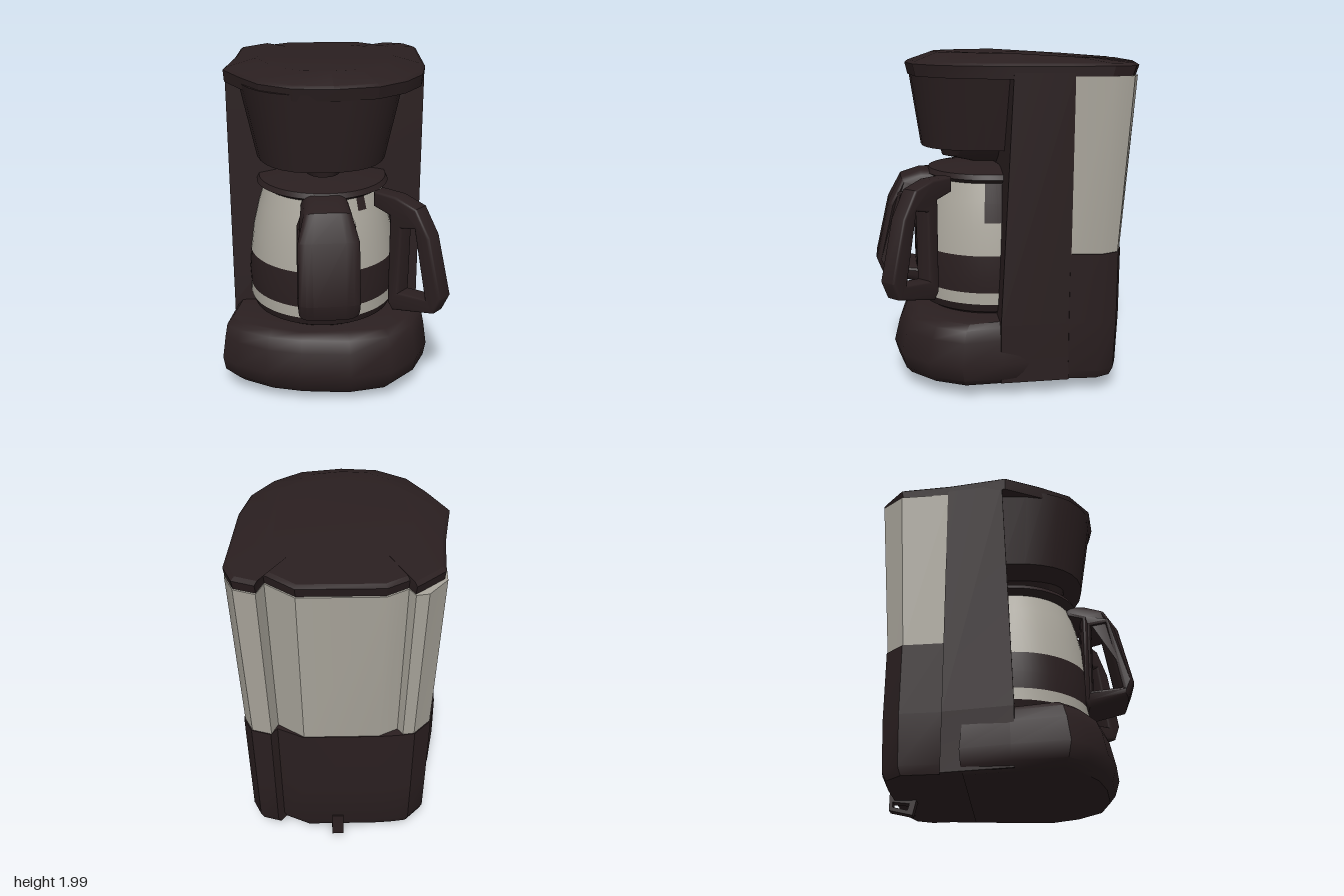
import * as THREE from 'three';
import { toCreasedNormals } from 'three/addons/utils/BufferGeometryUtils.js';

const dark = new THREE.MeshStandardMaterial({ color: 0x2a1f20 });
dark.name = 'dark brown plastic';
const pale = new THREE.MeshStandardMaterial({ color: 0xaaa69c });
pale.name = 'pale grey glass';

// Closed solid through rings of [x, y, z], listed bottom to top, each counter-clockwise from above
function loft(rings, crease = 0.6) {
  const n = rings[0].length, pos = [];
  const tri = (a, b, c) => pos.push(...a, ...b, ...c);
  for (let i = 0; i < rings.length - 1; i++) {
    for (let j = 0; j < n; j++) {
      const k = (j + 1) % n, lo = rings[i], hi = rings[i + 1];
      tri(lo[j], lo[k], hi[k]);
      tri(lo[j], hi[k], hi[j]);
    }
  }
  const cap = (ring, up) => {
    const flat = ring.map(p => new THREE.Vector2(p[0], -p[2]));
    for (const [a, b, c] of THREE.ShapeUtils.triangulateShape(flat, [])) {
      if (up) tri(ring[a], ring[b], ring[c]);
      else tri(ring[a], ring[c], ring[b]);
    }
  };
  cap(rings[0], false);
  cap(rings[rings.length - 1], true);
  const g = new THREE.BufferGeometry();
  g.setAttribute('position', new THREE.Float32BufferAttribute(pos, 3));
  return toCreasedNormals(g, crease);
}

// Plan outline placed at a height, scaled in x and in z about z0
const at = (plan, y, sx = 1, sz = 1, z0 = 0) =>
  plan.map(([x, z]) => [x * sx, y, z0 + (z - z0) * sz]);

// Rounded front outline, open side on z = 0
function frontRing(y, cx, rx, rz) {
  const ring = [], n = 16;
  for (let i = 0; i <= n; i++) {
    const a = Math.PI * (1 - i / n), c = Math.cos(a), s = Math.max(0, Math.sin(a));
    ring.push([cx + rx * Math.sign(c) * Math.abs(c) ** 0.8, y, rz * s ** 0.8]);
  }
  return ring;
}

// Carafe handle: side profile with a finger hole, u = 0 near the glass, narrowing at top and bottom
function handleGeometry(width, bevelSize, bevelThickness, taper) {
  const v = pts => pts.map(p => new THREE.Vector2(...p));
  const shape = new THREE.Shape(v([[-0.13, 1.2], [-0.03, 1.17], [-0.03, 0.62], [0, 0.575], [0.24, 0.645],
    [0.28, 0.75], [0.2, 1.1], [0.12, 1.25], [0, 1.29], [-0.13, 1.29]]));
  shape.holes.push(new THREE.Path(v([[0.035, 0.7], [0.04, 1.11], [0.115, 1.13], [0.19, 0.72]])));
  const g = new THREE.ExtrudeGeometry(shape, {
    depth: width - 2 * bevelThickness, bevelEnabled: true, bevelSize, bevelThickness,
    bevelOffset: -bevelSize, bevelSegments: 3,
  });
  g.translate(0, 0, bevelThickness - width / 2);
  const p = g.attributes.position;
  for (let i = 0; i < p.count; i++) {
    const y = p.getY(i);
    const ends = Math.max(0, y - 1.12) / 0.17 + 0.5 * Math.max(0, 0.68 - y) / 0.1;
    p.setZ(i, p.getZ(i) * (1 - taper * ends));
  }
  return toCreasedNormals(g, 0.6);
}

export function createModel() {
  const model = new THREE.Group();
  model.name = 'coffeeMaker';
  const add = (name, geometry, material = dark) => {
    const mesh = new THREE.Mesh(geometry, material);
    mesh.name = name;
    model.add(mesh);
    return mesh;
  };

  // Rear outline with a grooved ridge at each back corner
  const rear = [[0.63, -0.33], [0.65, -0.55], [0.6, -0.68], [0.48, -0.73], [0.44, -0.63], [0.28, -0.77],
    [-0.18, -0.78], [-0.3, -0.71], [-0.33, -0.77], [-0.4, -0.76], [-0.51, -0.63], [-0.53, -0.33]];

  // Base with a bulging front and sides that flare out of the column towards the bottom
  const base = (y, sx, sz, flare) => at([[0.58 + 0.03 * flare, 0.05], [0.57, -0.23], [-0.54, -0.23],
    [-0.58 - 0.03 * flare, 0.05], [-0.66, 0.37], [-0.58, 0.47], [-0.4, 0.58], [-0.2, 0.64], [0.1, 0.68],
    [0.35, 0.64], [0.52, 0.49], [0.62, 0.3]], y, sx, sz);
  add('base', loft([
    base(0.085, 0.9, 0.91, 1), base(0.13, 0.98, 0.96, 1), base(0.22, 1, 1, 0.8),
    base(0.36, 0.97, 0.95, 0.4), base(0.43, 0.95, 0.9, 0), base(0.46, 0.9, 0.83, 0),
  ], 0.8));

  // Upright column, its front leaning back slightly
  const column = [[0.6, 0], [0.63, -0.335], [-0.53, -0.335], [-0.59, 0]];
  const columnLow = [[0.59, 0.07], [0.58, -0.335], [-0.5, -0.335], [-0.58, 0.07]];
  add('column', loft([at(columnLow, 0.1), at(columnLow, 0.45), at(column, 1.9)]));

  // Lower rear housing, smoother than the tank above it
  const housing = rear.map(([x, z], i) => (i === 7 ? [-0.29, -0.775] : i === 4 ? [0.44, -0.67] : [x, z]));
  add('rearHousing', loft([
    at(housing, 0.1, 0.89, 0.74, -0.33), at(housing, 0.15, 0.92, 0.79, -0.33),
    at(housing, 0.45, 0.93, 0.82, -0.33), at(housing, 0.87, 0.945, 0.82, -0.33),
  ]));

  // Water tank
  add('waterTank', loft([at(rear, 0.87, 0.935, 0.81, -0.33), at(rear, 1.88, 0.995, 0.985, -0.33)]), pale);

  // Lid, sloping down to its rim and to the back, leaving one tank corner bare
  const lid = [...rear.slice(0, 9), [-0.38, -0.73], [-0.495, -0.63], [-0.53, -0.33],
    [-0.6, 0.02], [-0.5, 0.24], [-0.4, 0.42], [-0.22, 0.55], [0, 0.58], [0.25, 0.54],
    [0.42, 0.42], [0.54, 0.25], [0.6, 0.02]];
  const lidTop = at(lid, 2, 0.68, 0.72).map(([x, y, z]) => [x, y + 0.06 * Math.min(0, z), z]);
  add('lid', loft([at(lid, 1.865, 0.99, 0.97), at(lid, 1.935), at(lid, 1.95, 0.97, 0.97), lidTop], 0.4));

  // Filter basket and drip spout
  add('filterBasket', loft([frontRing(1.44, -0.03, 0.39, 0.49), frontRing(1.9, -0.03, 0.49, 0.56)]));
  add('dripSpout', loft([
    frontRing(1.32, -0.03, 0.04, 0.14), frontRing(1.37, -0.03, 0.13, 0.36), frontRing(1.45, -0.03, 0.19, 0.38),
  ]));

  // Carafe, front part only as the rest sits in the column
  const carafe = new THREE.Group();
  carafe.name = 'carafe';
  carafe.position.set(-0.02, 0, 0.06);
  model.add(carafe);
  const turn = (name, pts, material, start = -Math.PI / 2 - 0.2, length = Math.PI + 0.4) => {
    const g = new THREE.LatheGeometry(pts.map(p => new THREE.Vector2(...p)), 32, start, length);
    const mesh = new THREE.Mesh(toCreasedNormals(g.toNonIndexed(), 0.6), material);
    mesh.name = name;
    carafe.add(mesh);
  };
  turn('carafeFoot', [[0.38, 0.45], [0.43, 0.48], [0.45, 0.53]], dark);
  turn('lowerGlass', [[0.45, 0.53], [0.45, 0.6]], pale);
  turn('carafeBand', [[0.45, 0.6], [0.455, 0.7], [0.445, 0.825]], dark);
  turn('upperGlass', [[0.445, 0.825], [0.425, 0.98], [0.39, 1.13], [0.35, 1.26]], pale);
  turn('carafeCollar', [[0.35, 1.24], [0.4, 1.27], [0.385, 1.3], [0.25, 1.325], [0, 1.335]], dark);
  turn('collarClip', [[0.421, 1.02], [0.395, 1.13], [0.355, 1.26]], dark, 1.37, 0.33);
  turn('collarTab', [[0.383, 1.17], [0.355, 1.26]], dark, 0.5, 0.16);

  // Wide front handle and slim side handle
  const wide = add('frontHandle', handleGeometry(0.35, 0.03, 0.08, 0.35));
  wide.position.set(-0.035, 0, 0.5);
  wide.rotation.y = -Math.PI / 2;
  const slim = add('sideHandle', handleGeometry(0.11, 0.015, 0.015, 0));
  slim.position.set(0.395, 0, 0.475);
  slim.scale.x = 1.2;
  slim.rotation.y = -0.8;

  // Cord loop under the back
  const loop = new THREE.Shape([[0.53, 0.1], [0.55, 0.01], [0.69, 0.04], [0.69, 0.2], [0.64, 0.2], [0.64, 0.1]]
    .map(p => new THREE.Vector2(...p)));
  loop.holes.push(new THREE.Path([[0.57, 0.08], [0.67, 0.09], [0.67, 0.06], [0.58, 0.04]]
    .map(p => new THREE.Vector2(...p))));
  const cord = add('cordLoop', new THREE.ExtrudeGeometry(loop, { depth: 0.07, bevelEnabled: false }));
  cord.rotation.y = Math.PI / 2;
  cord.position.x = 0.035;

  return model;
}
